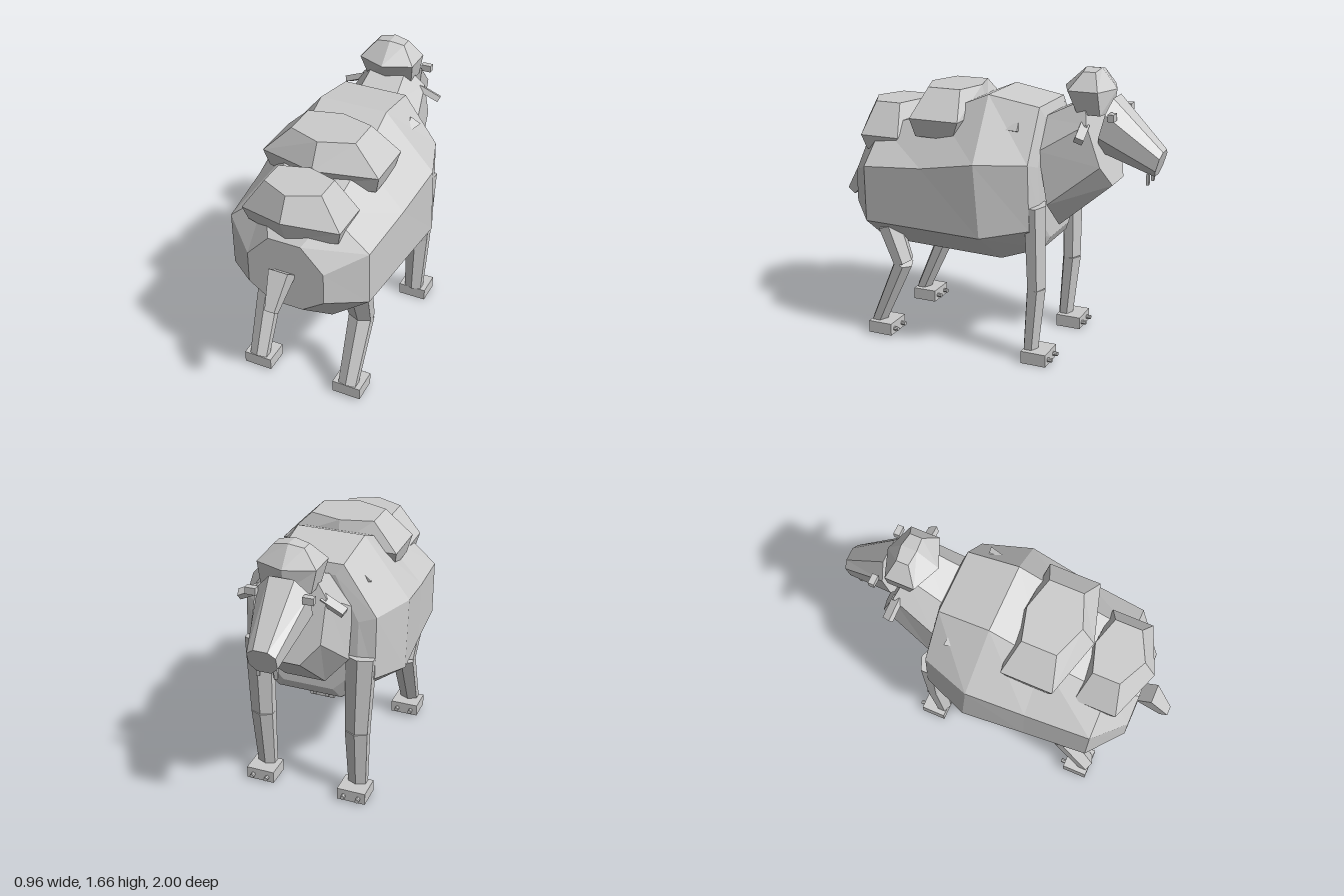
import * as THREE from 'three';

const hide = new THREE.MeshStandardMaterial({ color: 0xcccccc, flatShading: true });
hide.name = 'pale grey';

// Joins cross-sections of equal point count into a closed faceted solid
function loft(rings) {
  const pos = [];
  const tri = (a, b, c) => pos.push([a, b, c]);
  const n = rings[0].length;
  for (let r = 0; r < rings.length - 1; r++) {
    for (let i = 0; i < n; i++) {
      const j = (i + 1) % n;
      tri(rings[r][i], rings[r][j], rings[r + 1][j]);
      tri(rings[r][i], rings[r + 1][j], rings[r + 1][i]);
    }
  }
  const last = rings[rings.length - 1];
  for (let i = 1; i < n - 1; i++) {
    tri(rings[0][0], rings[0][i + 1], rings[0][i]);
    tri(last[0], last[i], last[i + 1]);
  }
  // Turn the faces outward
  let volume = 0;
  const [a, b, c] = [new THREE.Vector3(), new THREE.Vector3(), new THREE.Vector3()];
  for (const t of pos) volume += a.fromArray(t[0]).dot(b.fromArray(t[1]).cross(c.fromArray(t[2])));
  if (volume < 0) for (const t of pos) t.reverse();
  const geo = new THREE.BufferGeometry();
  geo.setAttribute('position', new THREE.Float32BufferAttribute(pos.flat(2), 3));
  geo.computeVertexNormals();
  return geo;
}

// Eight-sided section; z runs from zTop to zBottom so the section may lean
function octagon(zTop, zBottom, w, a, yTop, yHigh, yLow, yBottom) {
  const half = [[a, yTop], [w, yHigh], [w, yLow], [a, yBottom]];
  const z = y => zBottom + (zTop - zBottom) * (y - yBottom) / (yTop - yBottom);
  return [...half, ...half.slice().reverse().map(([x, y]) => [-x, y])].map(([x, y]) => [x, y, z(y)]);
}

// Level six-sided section with points at front and back; the sides may drop
function hexagon(w, y, zBack, zFront, insetBack, insetFront, drop = 0) {
  return [
    [0, y, zBack], [w, y - drop, zBack - insetBack], [w, y - drop, zFront + insetFront],
    [0, y, zFront], [-w, y - drop, zFront + insetFront], [-w, y - drop, zBack - insetBack],
  ];
}

export function createModel() {
  const model = new THREE.Group();
  const add = (name, geo, x = 0, y = 0, z = 0) => {
    const mesh = new THREE.Mesh(geo, hide);
    mesh.name = name;
    mesh.position.set(x, y, z);
    model.add(mesh);
    return mesh;
  };
  // Tapered prism between two points
  const limb = (name, from, to, r0, r1, sides, depth = 1, turn = 0) => {
    const p = new THREE.Vector3(...from), q = new THREE.Vector3(...to);
    const geo = new THREE.CylinderGeometry(r1, r0, p.distanceTo(q), sides);
    geo.rotateY(turn).scale(1, 1, depth);
    const mesh = add(name, geo, ...p.clone().add(q).multiplyScalar(0.5).toArray());
    mesh.quaternion.setFromUnitVectors(new THREE.Vector3(0, 1, 0), q.sub(p).normalize());
    return mesh;
  };

  // Barrel body, from rump to chest
  add('body', loft([
    octagon(0.81, 0.81, 0.225, 0.095, 1.12, 0.98, 0.79, 0.70),
    octagon(0.65, 0.64, 0.415, 0.19, 1.26, 1.065, 0.74, 0.565),
    octagon(0.27, 0.27, 0.445, 0.2, 1.37, 1.10, 0.745, 0.56),
    octagon(-0.04, -0.12, 0.478, 0.2, 1.50, 1.165, 0.75, 0.55),
    octagon(-0.34, -0.37, 0.385, 0.19, 1.45, 1.17, 0.80, 0.64),
    octagon(-0.36, -0.40, 0.29, 0.15, 1.39, 1.14, 0.84, 0.70),
  ]));

  // Neck and head
  add('neck', loft([
    octagon(-0.33, -0.44, 0.25, 0.12, 1.38, 1.22, 0.92, 0.77),
    octagon(-0.57, -0.74, 0.2, 0.1, 1.50, 1.38, 1.15, 1.03),
  ]));
  add('head', loft([
    octagon(-0.72, -0.64, 0.145, 0.07, 1.51, 1.43, 1.30, 1.21),
    octagon(-1.0, -0.96, 0.08, 0.04, 1.23, 1.20, 1.13, 1.09),
  ]));
  add('hairTuft', loft([
    hexagon(0.14, 1.42, -0.51, -0.70, 0.03, 0.03),
    hexagon(0.165, 1.55, -0.42, -0.72, 0.07, 0.06),
    hexagon(0.085, 1.66, -0.54, -0.63, 0.01, 0.01, 0.015),
  ]));

  // Two humps
  add('frontHump', loft([
    hexagon(0.32, 1.26, 0.44, 0.10, 0.08, 0.03, 0.01),
    hexagon(0.345, 1.37, 0.485, 0.055, 0.10, 0.03, 0.015),
    hexagon(0.19, 1.51, 0.41, 0.09, 0.07, 0.05),
  ]));
  add('rearHump', loft([
    hexagon(0.265, 1.13, 0.79, 0.50, 0.08, 0.03),
    hexagon(0.287, 1.265, 0.845, 0.475, 0.11, 0.02, 0.05),
    hexagon(0.165, 1.395, 0.775, 0.49, 0.08, 0.05),
  ]));

  // Stubby tail
  limb('tail', [0, 0.95, 0.84], [0, 0.778, 0.975], 0.08, 0.04, 4, 1, Math.PI / 4);

  for (const s of [1, -1]) {
    const side = s > 0 ? 'left' : 'right';

    // Face details
    add(side + 'Eye', new THREE.BoxGeometry(0.06, 0.04, 0.035), s * 0.16, 1.425, -0.745);
    add(side + 'Tooth', new THREE.BoxGeometry(0.02, 0.065, 0.016), s * 0.05, 1.075, -0.925);
    const ear = add(side + 'Ear', new THREE.BoxGeometry(0.14, 0.035, 0.05), s * 0.235, 1.34, -0.6);
    ear.rotation.set(-0.4, s * 0.25, s * -0.35);

    // Shoulder spike
    limb(side + 'ShoulderSpike', [s * 0.26, 1.345, -0.25], [s * 0.28, 1.33, -0.12], 0.06, 0.003, 4, 0.5);

    // Legs: hip, knee and ankle, then the foot
    const legs = [
      { name: 'Front', hip: [0.305, 0.93, -0.365], knee: [0.293, 0.445, -0.375], ankle: [0.29, 0.07, -0.345], foot: -0.39, base: 0 },
      { name: 'Rear', hip: [0.3, 0.70, 0.55], knee: [0.293, 0.47, 0.47], ankle: [0.29, 0.08, 0.645], foot: 0.6, base: 0.015 },
    ];
    for (const { name, hip, knee, ankle, foot, base } of legs) {
      const at = ([x, y, z]) => [s * x, y, z];
      const label = side + name;
      limb(label + 'UpperLeg', at(knee), at(hip), 0.078, 0.093, 6, 0.7);
      limb(label + 'LowerLeg', at(ankle), at(knee), 0.062, 0.078, 6, 0.72);
      add(label + 'Foot', new THREE.BoxGeometry(0.172, 0.073, 0.15), s * 0.289, base + 0.0365, foot);
      for (const dx of [-0.045, 0.045]) {
        const toe = new THREE.CylinderGeometry(0.013, 0.013, 0.05, 8).rotateX(Math.PI / 2);
        add(label + 'Toe', toe, s * 0.289 + dx, base + 0.032, foot - 0.077);
      }
    }
  }
  return model;
}
